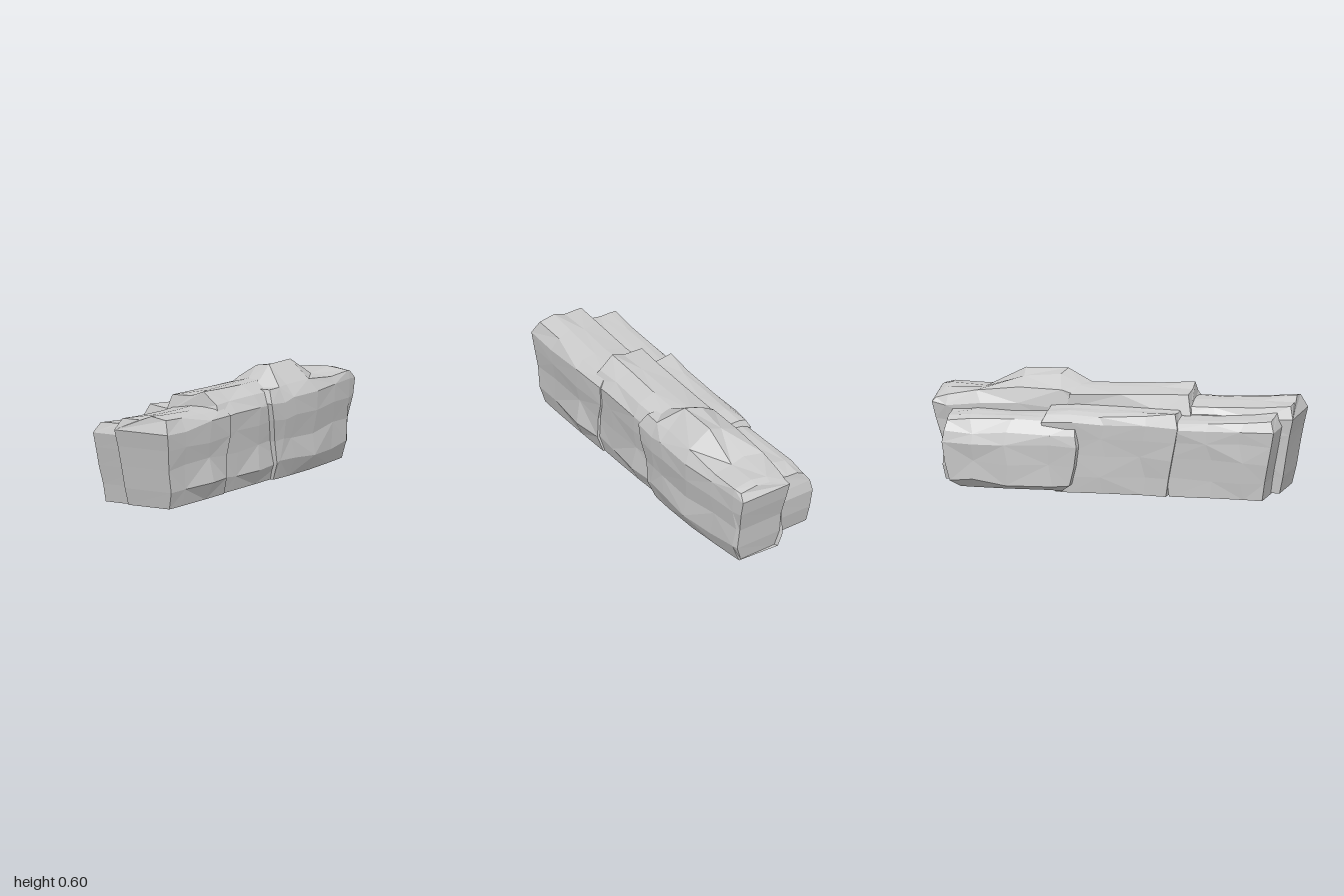
import * as THREE from 'three';

const material = new THREE.MeshStandardMaterial({ color: 0xcccccc, flatShading: true, side: THREE.DoubleSide });

// One boulder: cross-sections lofted from front to back, with leaning ends.
// rows: [y, inset on the left, inset on the right, how far an end leans in]
// topX: x of the top ridge points, right to left
// stations: [z, left x, right x, top heights, swelling of the right flank, end (1 front, -1 back)]
function boulder(name, rows, topX, stations, seed) {
  let s = seed;
  const jitter = (a) => { s = (s * 16807) % 2147483647; return (s / 2147483647 - 0.5) * 2 * a; };
  const n = rows.length;
  const loops = stations.map(([z, left, right, tops, swell = 0, end = 0]) => {
    const wob = (a) => (end ? 0 : jitter(a));
    const R = rows.map(([y, , inR, lean], k) => new THREE.Vector3(
      right - inR + (k === 1 ? swell : 0) + (k ? wob(0.004) : 0), y + (k ? wob(0.015) : 0), z - end * lean + (k ? wob(0.02) : 0)));
    const T = topX.map((x, k) => new THREE.Vector3(
      Math.min(x + wob(0.008), right - 0.01), tops[k], z - end * 0.035 + wob(0.02)));
    const L = rows.map(([y, inL, , lean], k) => new THREE.Vector3(
      left + inL + (k ? wob(0.006) : 0), y + (k ? wob(0.015) : 0), z - end * (lean + 0.015) + (k ? wob(0.02) : 0)));
    return [...R, ...T, ...L.reverse()];
  });
  const N = loops[0].length;
  const pos = [];
  const tri = (...p) => p.forEach((v) => pos.push(v.x, v.y, v.z));
  // flanks, top and underside
  for (let j = 0; j + 1 < loops.length; j++) {
    const f = loops[j], b = loops[j + 1];
    for (let i = 0; i < N; i++) {
      const k = (i + 1) % N;
      if ((i + j) % 2) { tri(b[i], b[k], f[k]); tri(b[i], f[k], f[i]); }
      else { tri(b[i], b[k], f[i]); tri(b[k], f[k], f[i]); }
    }
  }
  // broken end faces, in bands
  const cap = (p, back) => {
    const t = (a, b, c) => (back ? tri(a, c, b) : tri(a, b, c));
    for (let k = 0; k + 1 < n; k++) {
      const l0 = p[N - 1 - k], l1 = p[N - 2 - k];
      t(l0, p[k], p[k + 1]);
      t(l0, p[k + 1], l1);
    }
    for (let i = n; i < N - n; i++) t(p[N - n], p[i - 1], p[i]);
  };
  cap(loops[0], false);
  cap(loops[loops.length - 1], true);
  const g = new THREE.BufferGeometry();
  g.setAttribute('position', new THREE.Float32BufferAttribute(pos, 3));
  g.computeVertexNormals();
  const mesh = new THREE.Mesh(g, material);
  mesh.name = name;
  return mesh;
}

export function createModel() {
  const group = new THREE.Group();
  group.name = 'rockWall';

  // tall row
  const tall = [[0.008, 0.04, 0.035, 0.08], [0.1, 0.03, 0.012, 0.06], [0.22, 0.02, 0.015, 0.04], [0.33, 0.01, 0.005, 0.02], [0.42, 0, 0, 0]];
  const tallX = [0.22, 0.13, 0.06, -0.045];
  group.add(boulder('tallFrontRock', tall, tallX, [
    [1.0, -0.085, 0.25, [0.493, 0.508, 0.483, 0.483], 0, 1],
    [0.8, -0.075, 0.255, [0.48, 0.495, 0.485, 0.47]],
    [0.56, -0.07, 0.26, [0.468, 0.48, 0.48, 0.46], 0.02],
    [0.36, -0.07, 0.26, [0.468, 0.475, 0.475, 0.46]],
  ], 11));
  group.add(boulder('tallMiddleRock', tall, [0.21, 0.13, 0.06, -0.06], [
    [0.45, -0.095, 0.25, [0.49, 0.557, 0.53, 0.525], 0, 1],
    [0.26, -0.08, 0.253, [0.49, 0.545, 0.535, 0.52]],
    [0.03, -0.07, 0.255, [0.49, 0.535, 0.53, 0.51], 0.02],
    [-0.24, -0.065, 0.25, [0.48, 0.53, 0.53, 0.5]],
  ], 23));
  const rear = [[0.008, 0.04, 0.045, 0.09], [0.1, 0.02, 0.01, 0.07], [0.22, 0.02, 0.015, 0.055], [0.34, 0.01, 0, 0.02], [0.43, 0, 0, 0]];
  group.add(boulder('tallRearRock', rear, [0.245, 0.135, 0.05, -0.05], [
    [-0.05, -0.05, 0.28, [0.5, 0.5, 0.49, 0.47], 0, 1],
    [-0.17, -0.06, 0.285, [0.5, 0.54, 0.525, 0.49]],
    [-0.28, -0.065, 0.29, [0.5, 0.6, 0.585, 0.52]],
    [-0.5, -0.075, 0.29, [0.5, 0.595, 0.565, 0.525], 0.01],
    [-0.72, -0.08, 0.275, [0.475, 0.485, 0.5, 0.5]],
    [-0.9, -0.075, 0.258, [0.48, 0.495, 0.49, 0.47]],
    [-0.985, -0.065, 0.245, [0.47, 0.485, 0.475, 0.45], 0, -1],
  ], 37));

  // low row
  const low = [[0.002, 0.038, 0, 0.07], [0.1, 0.03, 0, 0.055], [0.2, 0.015, 0, 0.035], [0.3, 0.008, 0, 0.015], [0.38, 0, 0, 0]];
  const lowX = [-0.05, -0.12, -0.18, -0.22];
  group.add(boulder('lowFrontRock', low, lowX, [
    [0.93, -0.256, 0.03, [0.45, 0.438, 0.438, 0.435], 0, 1],
    [0.74, -0.245, 0.03, [0.43, 0.43, 0.428, 0.42]],
    [0.56, -0.24, 0.03, [0.42, 0.42, 0.418, 0.41]],
    [0.34, -0.245, 0.03, [0.42, 0.415, 0.41, 0.4]],
  ], 41));
  group.add(boulder('lowMiddleRock', low, lowX, [
    [0.41, -0.256, 0.03, [0.45, 0.44, 0.448, 0.455], 0, 1],
    [0.2, -0.24, 0.03, [0.45, 0.442, 0.445, 0.435]],
    [-0.02, -0.24, 0.03, [0.45, 0.44, 0.435, 0.42]],
    [-0.2, -0.25, 0.03, [0.45, 0.44, 0.44, 0.425]],
    [-0.36, -0.24, 0.02, [0.44, 0.43, 0.43, 0.42], 0, -1],
  ], 59));
  const lowRear = [[0.012, 0.06, 0, 0.09], [0.05, 0.015, 0, 0.04], [0.15, 0.008, 0, 0.015], [0.26, 0, 0, 0], [0.32, 0.01, 0, 0.01]];
  group.add(boulder('lowRearRock', lowRear, [-0.06, -0.13, -0.19, -0.23], [
    [-0.13, -0.288, 0.02, [0.4, 0.4, 0.395, 0.37], 0, 1],
    [-0.3, -0.278, 0.02, [0.41, 0.41, 0.4, 0.385]],
    [-0.52, -0.288, 0.02, [0.4, 0.4, 0.4, 0.39]],
    [-0.72, -0.282, 0.02, [0.41, 0.41, 0.4, 0.385]],
    [-0.89, -0.275, 0, [0.4, 0.39, 0.39, 0.37], 0, -1],
  ], 73));
  return group;
}
